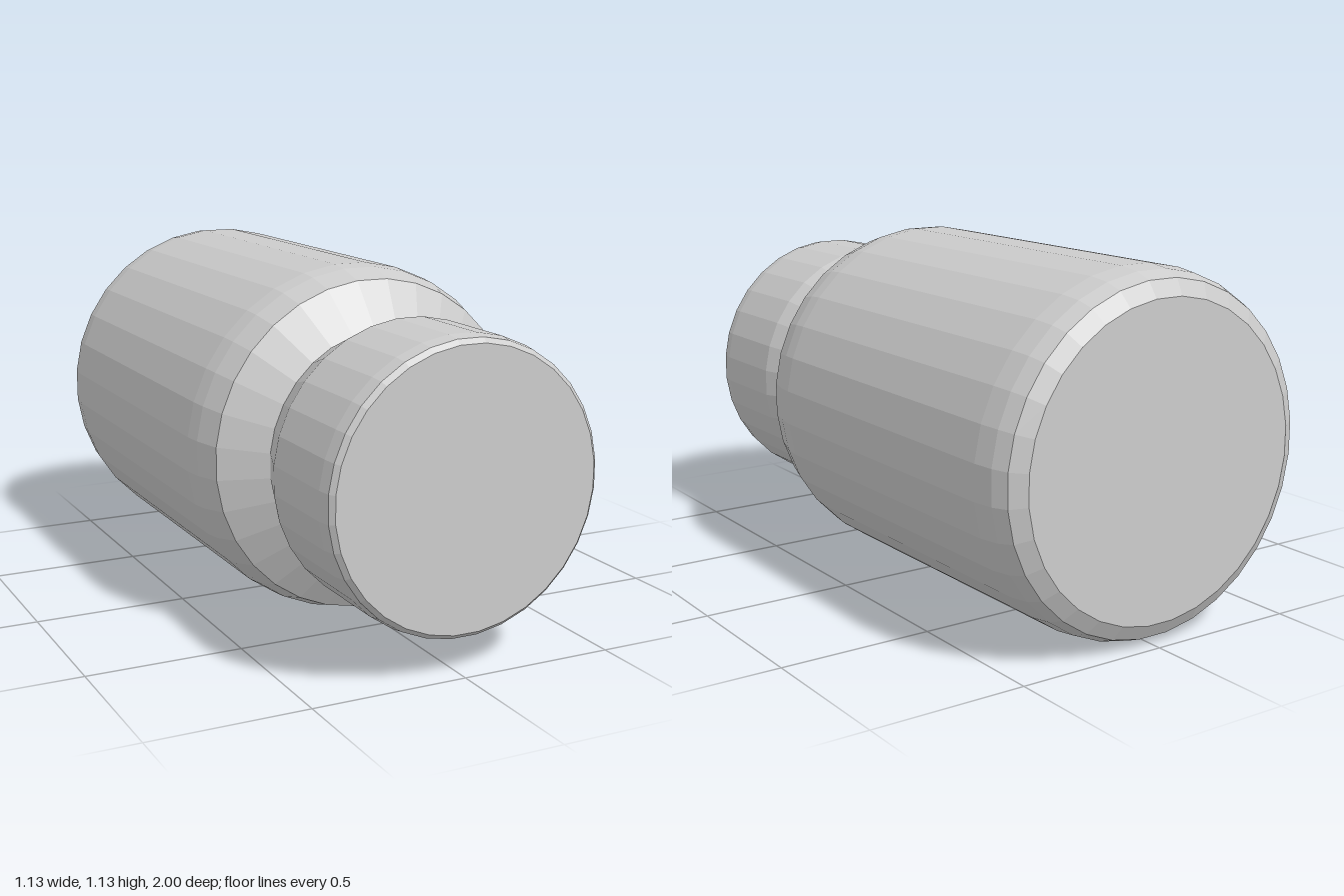
import * as THREE from 'three';

const SIDES = 32;
const AXIS_HEIGHT = 0.568;

export function createModel() {
  const model = new THREE.Group();
  model.name = 'bottle';
  const material = new THREE.MeshStandardMaterial({ color: 0xcccccc, flatShading: true });

  // Turns a [radius, z] profile (listed back to front) about the lying axis
  function turned(name, profile) {
    const points = profile.map(([r, z]) => new THREE.Vector2(r, z));
    const geometry = new THREE.LatheGeometry(points, SIDES, Math.PI / SIDES);
    geometry.rotateX(Math.PI / 2);
    const mesh = new THREE.Mesh(geometry, material);
    mesh.name = name;
    mesh.position.y = AXIS_HEIGHT;
    model.add(mesh);
  }

  // Body: flat base, rounded rim, straight wall, rounded shoulder
  turned('body', [
    [0, -1], [0.49, -1], [0.54, -0.97], [0.56, -0.92], [0.569, -0.85],
    [0.569, 0.25], [0.562, 0.31], [0.535, 0.4], [0.395, 0.49],
  ]);

  // Cap: flares out from the neck, then a straight wall and flat end
  turned('cap', [
    [0.395, 0.49], [0.452, 0.64], [0.452, 0.94], [0.445, 0.985], [0.43, 1], [0, 1],
  ]);

  return model;
}
